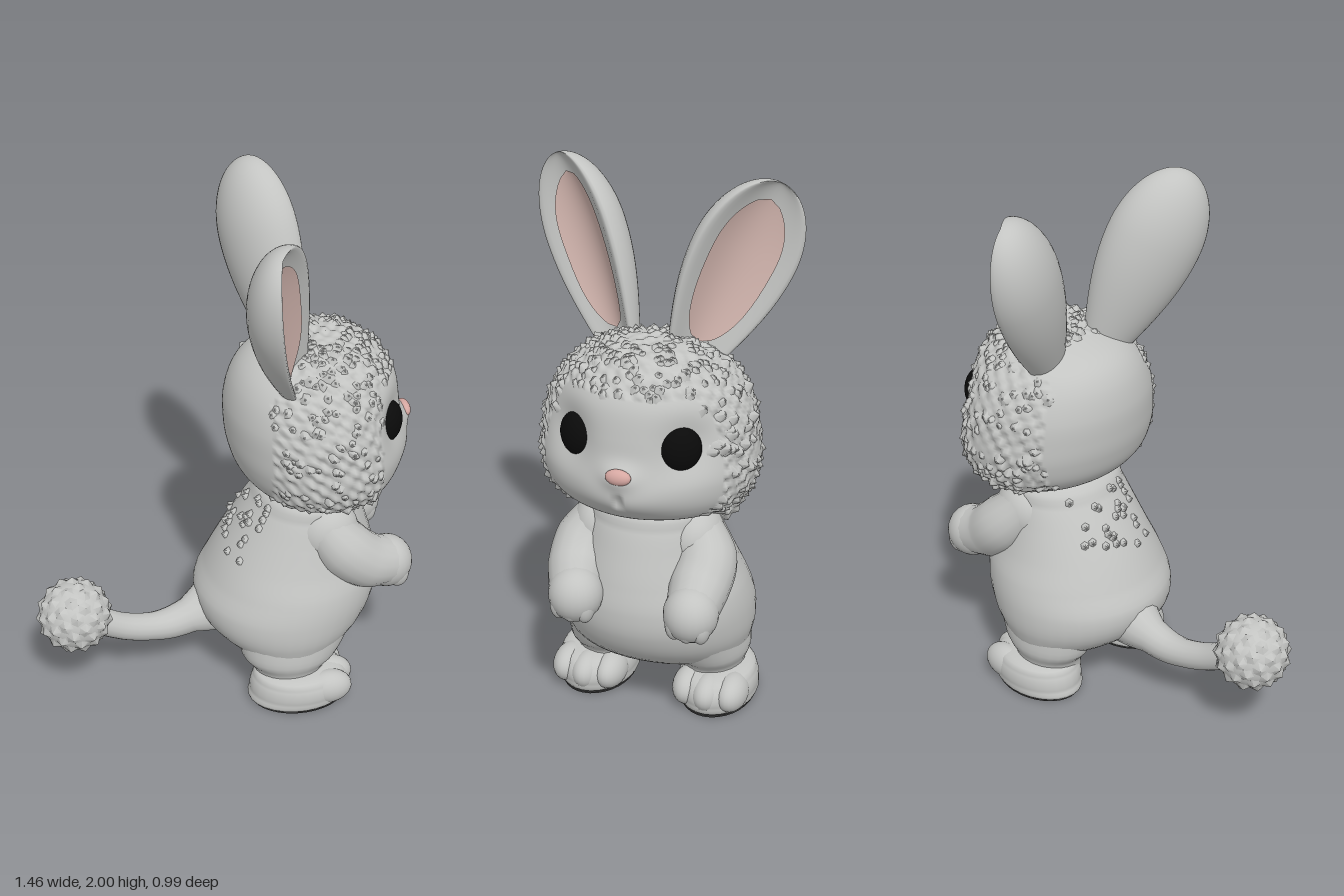
import * as THREE from 'three';
import { mergeGeometries } from 'three/addons/utils/BufferGeometryUtils.js';
import { ParametricGeometry } from 'three/addons/geometries/ParametricGeometry.js';

const V = (x, y, z) => new THREE.Vector3(x, y, z);

export function createModel() {
  const model = new THREE.Group();
  model.name = 'rabbit';
  const material = (name, color) => {
    const m = new THREE.MeshStandardMaterial({ color });
    m.name = name;
    return m;
  };
  const fur = material('grey fur', 0xc3c4c2);
  const inner = material('ear pink', 0xd2b5ae);
  const nosePink = material('nose pink', 0xd6a8a2);
  const black = material('eye black', 0x0a0a0a);
  const soleGrey = material('sole dark grey', 0x3c3c3c);

  function add(name, geometry, mat = fur, parent = model) {
    const mesh = new THREE.Mesh(geometry, mat);
    mesh.name = name;
    parent.add(mesh);
    return mesh;
  }
  function ball(name, pos, r, mat = fur, parent = model) {
    const mesh = add(name, new THREE.SphereGeometry(1, 24, 16), mat, parent);
    mesh.position.set(...pos);
    mesh.scale.set(...r);
    return mesh;
  }
  // Rounded form from horizontal sections: [height, back x, front x, half width]
  function sections(rows, zc) {
    const a = new THREE.CatmullRomCurve3(rows.map(r => V(r[0], r[1], r[2])), false, 'catmullrom');
    const b = new THREE.CatmullRomCurve3(rows.map(r => V(r[3], 0, 0)), false, 'catmullrom');
    return (u, v, target) => {
      const p = a.getPoint(v), hz = b.getPoint(v).x, t = u * Math.PI * 2;
      target.set((p.y + p.z) / 2 + Math.cos(t) * (p.z - p.y) / 2, p.x, zc - Math.sin(t) * hz);
    };
  }
  // Tube whose radius changes along its path
  function taperTube(points, radii) {
    const n = 24, sides = 16;
    const curve = new THREE.CatmullRomCurve3(points.map(p => V(...p)));
    const g = new THREE.TubeGeometry(curve, n, 1, sides);
    const pos = g.attributes.position, p = V(0, 0, 0);
    for (let i = 0; i <= n; i++) {
      const c = curve.getPointAt(i / n);
      const f = Math.min(i / n * (radii.length - 1), radii.length - 1.001), k = Math.floor(f);
      const r = THREE.MathUtils.lerp(radii[k], radii[k + 1], f - k);
      for (let j = 0; j <= sides; j++) {
        const id = i * (sides + 1) + j;
        p.fromBufferAttribute(pos, id).sub(c).multiplyScalar(r).add(c);
        pos.setXYZ(id, p.x, p.y, p.z);
      }
    }
    return g;
  }
  // Low pointed fur tufts: list of [position, direction]
  function tufts(name, list, r, h) {
    const parts = list.map(([p, d]) => {
      const g = new THREE.ConeGeometry(r, h, 6, 1, true);
      const q = new THREE.Quaternion().setFromUnitVectors(V(0, 1, 0), d.clone().normalize());
      return g.applyMatrix4(new THREE.Matrix4().compose(p, q, V(1, 1, 1)));
    });
    add(name, mergeGeometries(parts));
  }
  let seed = 7;
  const rnd = () => (seed = (seed * 16807) % 2147483647) / 2147483647;

  // Body
  const body = sections([
    [.145, .2, .2, 0], [.15, .11, .34, .2], [.19, .02, .43, .31], [.28, -.08, .54, .352],
    [.38, -.105, .595, .358], [.48, -.06, .605, .34], [.58, -.01, .585, .3], [.68, .05, .555, .265],
    [.77, .11, .525, .235], [.84, .16, .49, .2], [.9, .32, .32, 0]], -.007);
  add('body', new ParametricGeometry(body, 40, 40));

  // Tufts down the upper back
  const ruff = [];
  for (let i = 0; i < 30; i++) {
    const p = V(0, 0, 0);
    body(.4 + .2 * rnd(), .6 + .26 * rnd(), p);
    ruff.push([p, V(-.8, .35, p.z * 3)]);
  }
  tufts('backTufts', ruff, .032, .04);

  // Head with muzzle, nose ridge, mouth crease and eye hollows
  const hz = -.015, fz = -.025;
  const headBase = sections([
    [.832, .35, .35, 0], [.842, .22, .5, .18], [.88, .12, .6, .31], [.94, .06, .65, .37],
    [1.02, .03, .672, .392], [1.1, .018, .672, .388], [1.2, .018, .662, .37], [1.3, .045, .64, .325],
    [1.37, .1, .595, .26], [1.42, .2, .535, .18], [1.45, .3, .47, .09], [1.458, .385, .385, 0]], hz);
  const bump = (dy, dz, sy, sz) => Math.exp(-((dy / sy) ** 2) - (dz / sz) ** 2);
  const middle = V(.34, 1.13, hz);
  const furry = p => (p.x > .13 && p.x < .53 && Math.abs(p.z - hz) > .22 && p.y > .88)
    || (p.y > 1.33 && p.x > .22);
  const head = (u, v, p) => {
    headBase(u, v, p);
    if (furry(p)) { // clumped fur
      const wave = Math.sin(p.x * 95 + p.y * 30) * Math.sin(p.y * 100 - p.z * 25) * Math.sin(p.z * 80 + 1);
      p.addScaledVector(p.clone().sub(middle), .025 * wave);
    }
    if (p.x < .36) return;
    const z = p.z - fz, fade = Math.min(1, (p.x - .36) / .12);
    p.x += fade * (.043 * bump(p.y - .985, z, .08, .16) + .034 * bump(p.y - 1.075, z, .04, .065)
      - .028 * bump(p.y - .985, z, .025, .014)
      - .045 * bump(p.y - 1.17, Math.abs(z) - .215, .1, .09));
  };
  add('head', new ParametricGeometry(head, 130, 90));
  const nose = ball('nose', [.706, 1.084, fz - .003], [.022, .028, .046], nosePink);
  nose.rotation.z = .2;

  // Eyes
  for (const s of [1, -1]) {
    const eye = ball('eye', [.58, 1.16, -.02 + s * .186], [.05, .079, .072], black);
    eye.rotation.y = -s * .55;
  }

  // Head tufts on crown and cheeks, leaving face and nape smooth
  const crown = [];
  for (let i = 0; i < 560; i++) {
    const p = V(0, 0, 0);
    head(i * .618034 % 1, .15 + .78 * rnd(), p);
    if (furry(p)) crown.push([p, p.clone().sub(middle).normalize().add(V(-.08, .05, 0))]);
  }
  tufts('headTufts', crown, .032, .03);

  // Ears: deep cupped shells with a pink lining
  for (const s of [1, -1]) {
    const ear = new THREE.Group();
    ear.name = s > 0 ? 'leftEar' : 'rightEar';
    model.add(ear);
    const base = s > 0 ? V(.245, 1.36, .14) : V(.275, 1.36, .14);
    const tip = s > 0 ? V(.105, 1.985, .418) : V(.18, 1.985, .418);
    const along = tip.clone().sub(base), a = along.clone().normalize();
    const w = V(.88, 0, .47).cross(a).normalize(), n = a.clone().cross(w);
    const width = t => .187 * (t < .6 ? .5 + .5 * Math.sin(t / .6 * Math.PI / 2)
      : Math.sqrt(Math.max(0, 1 - ((t - .6) / .4) ** 2)));
    const place = (t, c, d, target) => {
      const h = width(t);
      target.copy(base).addScaledVector(along, t).addScaledVector(w, c * h).addScaledVector(n, d);
      target.z *= s;
    };
    const hollow = k => .75 * k - .95 * k * k;
    add('earShell', new ParametricGeometry((u, v, target) => {
      const th = (s > 0 ? u : 1 - u) * Math.PI * 2, k = Math.sin(th), t = Math.sin(v * Math.PI / 2);
      place(t, Math.cos(th), width(t) * (k > 0 ? hollow(k) : .75 * k), target);
    }, 40, 30), fur, ear);
    add('earLining', new ParametricGeometry((u, v, target) => {
      const m = .63 * Math.pow(Math.max(0, 1 - (2 * v - 1) ** 4), .5);
      const c = m * (s > 0 ? 1 - 2 * u : 2 * u - 1), t = .08 + .82 * v;
      place(t, c, width(t) * hollow(Math.sqrt(1 - c * c)) + .006, target);
    }, 16, 30), inner, ear);
  }

  // Arms with paws and fingers
  for (const s of [1, -1]) {
    const arm = new THREE.Group();
    arm.name = s > 0 ? 'leftArm' : 'rightArm';
    model.add(arm);
    const h = s > 0 ? .18 : -.25;
    const sh = s > 0 ? .165 : -.185;
    const el = s > 0 ? .212 : -.245;
    add('sleeve', taperTube([[.34, .74, sh], [.42, .65, el], [.5, .585, el], [.61, .54, h]],
      [.09, .112, .108, .09]), fur, arm);
    ball('shoulder', [.36, .71, sh], [.125, .125, .105], fur, arm);
    ball('paw', [.6, .54, h], [.1, .103, .098], fur, arm);
    for (let i = -1; i <= 1; i++)
      ball('finger', [.645 - Math.abs(i) * .01, .51, h + i * .048], [.042, .06, .034], fur, arm);
  }

  // Legs, feet, toes and soles
  for (const s of [1, -1]) {
    const leg = new THREE.Group();
    leg.name = s > 0 ? 'leftLeg' : 'rightLeg';
    model.add(leg);
    const z = -.005 + s * .238;
    add('leg', new ParametricGeometry(sections([
      [.07, .09, .37, .12], [.14, .08, .36, .12], [.2, .035, .41, .138], [.3, .02, .46, .13]],
      z * .87), 28, 12), fur, leg);
    add('foot', new ParametricGeometry(sections([
      [.004, .25, .25, 0], [.005, .07, .42, .128], [.05, .06, .45, .147], [.1, .07, .44, .142],
      [.135, .1, .39, .115], [.15, .24, .24, 0]], z), 28, 20), fur, leg);
    for (let i = -1; i <= 1; i++)
      ball('toe', [.37 - Math.abs(i) * .022, .074, z + i * .083], [.094, .069, .06], fur, leg);
    const sole = add('sole', new THREE.CylinderGeometry(1, 1, .006, 32), soleGrey, leg);
    sole.position.set(.25, .003, z);
    sole.scale.set(.185, 1, .135);
  }

  // Tail with a fluffy ball
  add('tail', taperTube([[.0, .32, -.005], [-.1, .275, 0], [-.23, .245, .015], [-.38, .275, .035], [-.55, .37, .055]],
    [.13, .07, .055, .052, .055]));
  const c = V(-.585, .39, .06);
  ball('tailBall', c.toArray(), [.133, .133, .133]);
  const fluff = [];
  for (let i = 0; i < 75; i++) {
    const y = 1 - (2 * i + 1) / 75, r = Math.sqrt(1 - y * y), t = i * 2.39996;
    const d = V(r * Math.cos(t), y, r * Math.sin(t));
    fluff.push([c.clone().addScaledVector(d, .131), d]);
  }
  tufts('tailTufts', fluff, .05, .032);

  return model;
}
